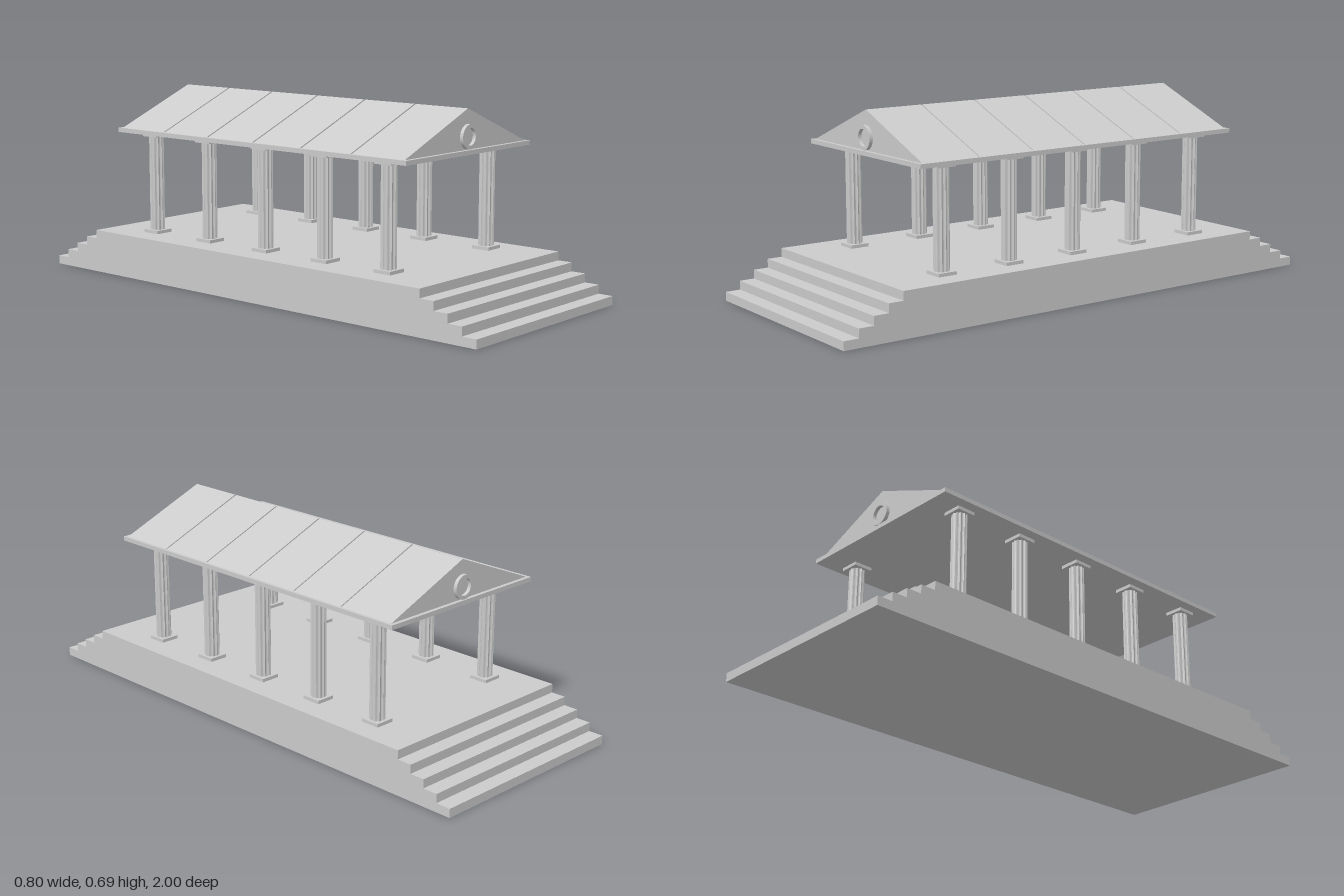
import * as THREE from 'three';

const mat = new THREE.MeshStandardMaterial({ color: 0xcccccc, flatShading: true });
const CX = 0.004; // the colonnade and roof sit slightly off centre
const CZ = -0.0125;

function add(parent, name, geometry, x = 0, y = 0, z = 0) {
  const mesh = new THREE.Mesh(geometry, mat);
  mesh.name = name;
  mesh.position.set(x, y, z);
  parent.add(mesh);
  return mesh;
}

const shapeOf = (pts) => new THREE.Shape(pts.map(([x, y]) => new THREE.Vector2(x, y)));
const extrude = (shape, depth, curveSegments = 12) =>
  new THREE.ExtrudeGeometry(shape, { depth, bevelEnabled: false, curveSegments });

// Platform: one stepped side profile, extruded across the width
function makePlatform() {
  const steps = 5, rise = 0.032, run = 0.056;
  const front = [];
  for (let i = 0; i < steps; i++) {
    const z = 1 - i * run;
    front.push([z, i * rise], [z, (i + 1) * rise]);
  }
  const back = front.map(([z, y]) => [-z, y]).reverse();
  const geometry = extrude(shapeOf([...front, ...back]), 0.804);
  geometry.translate(0, 0, -0.402);
  geometry.rotateY(-Math.PI / 2);
  return geometry;
}

// Shaft: circle with scalloped flutes, extruded upwards
function makeShaft(radius, height) {
  const flutes = 12, perFlute = 4, pts = [];
  for (let i = 0; i < flutes * perFlute; i++) {
    const a = (i / (flutes * perFlute)) * Math.PI * 2;
    const dip = Math.sin(((i % perFlute) / perFlute) * Math.PI);
    const r = radius - 0.0045 * dip;
    pts.push([Math.cos(a) * r, Math.sin(a) * r]);
  }
  const geometry = extrude(shapeOf(pts), height);
  geometry.rotateX(-Math.PI / 2);
  return geometry;
}

// Gabled prism centred along z
function makeGable(halfWidth, height, depth) {
  const geometry = extrude(shapeOf([[-halfWidth, 0], [halfWidth, 0], [0, height]]), depth);
  geometry.translate(0, 0, -depth / 2);
  return geometry;
}

export function createModel() {
  const temple = new THREE.Group();
  temple.name = 'temple';

  add(temple, 'steppedPlatform', makePlatform());

  // Two rows of five columns
  const shaft = makeShaft(0.028, 0.355);
  const block = new THREE.BoxGeometry(0.072, 0.012, 0.072);
  for (const side of [-1, 1]) {
    for (let i = 0; i < 5; i++) {
      const column = new THREE.Group();
      column.name = 'column';
      column.position.set(CX + side * 0.278, 0.16, 0.547 - i * 0.2795);
      add(column, 'columnBase', block, 0, 0.006, 0);
      add(column, 'columnShaft', shaft, 0, 0.011, 0);
      add(column, 'columnCapital', block, 0, 0.371, 0);
      temple.add(column);
    }
  }

  // Slab under the roof
  add(temple, 'eavesSlab', new THREE.BoxGeometry(0.705, 0.016, 1.375), CX, 0.545, CZ);

  // Roof: panels over a slightly smaller core, leaving thin grooves
  const roofLength = 1.347, panels = 6, pitch = roofLength / panels, gap = 0.007;
  add(temple, 'roofCore', makeGable(0.334, 0.136, roofLength - 0.02), CX, 0.552, CZ);
  for (let i = 0; i < panels; i++) {
    const start = i === 0 ? 0 : gap / 2;
    const end = i === panels - 1 ? pitch : pitch - gap / 2;
    const z = CZ - roofLength / 2 + i * pitch + (start + end) / 2;
    add(temple, 'roofPanel', makeGable(0.344, 0.141, end - start), CX, 0.552, z);
  }

  // Round ornament on each gable
  const ring = new THREE.Shape().absarc(0, 0, 0.043, 0, Math.PI * 2, false);
  ring.holes.push(new THREE.Path().absarc(0, 0, 0.03, 0, Math.PI * 2, true));
  const ringGeometry = extrude(ring, 0.02, 32);
  ringGeometry.translate(0, 0, -0.01);
  for (const end of [-1, 1]) {
    add(temple, 'gableRing', ringGeometry, CX - 0.001, 0.598, CZ + end * (roofLength / 2 + 0.003));
  }

  return temple;
}
